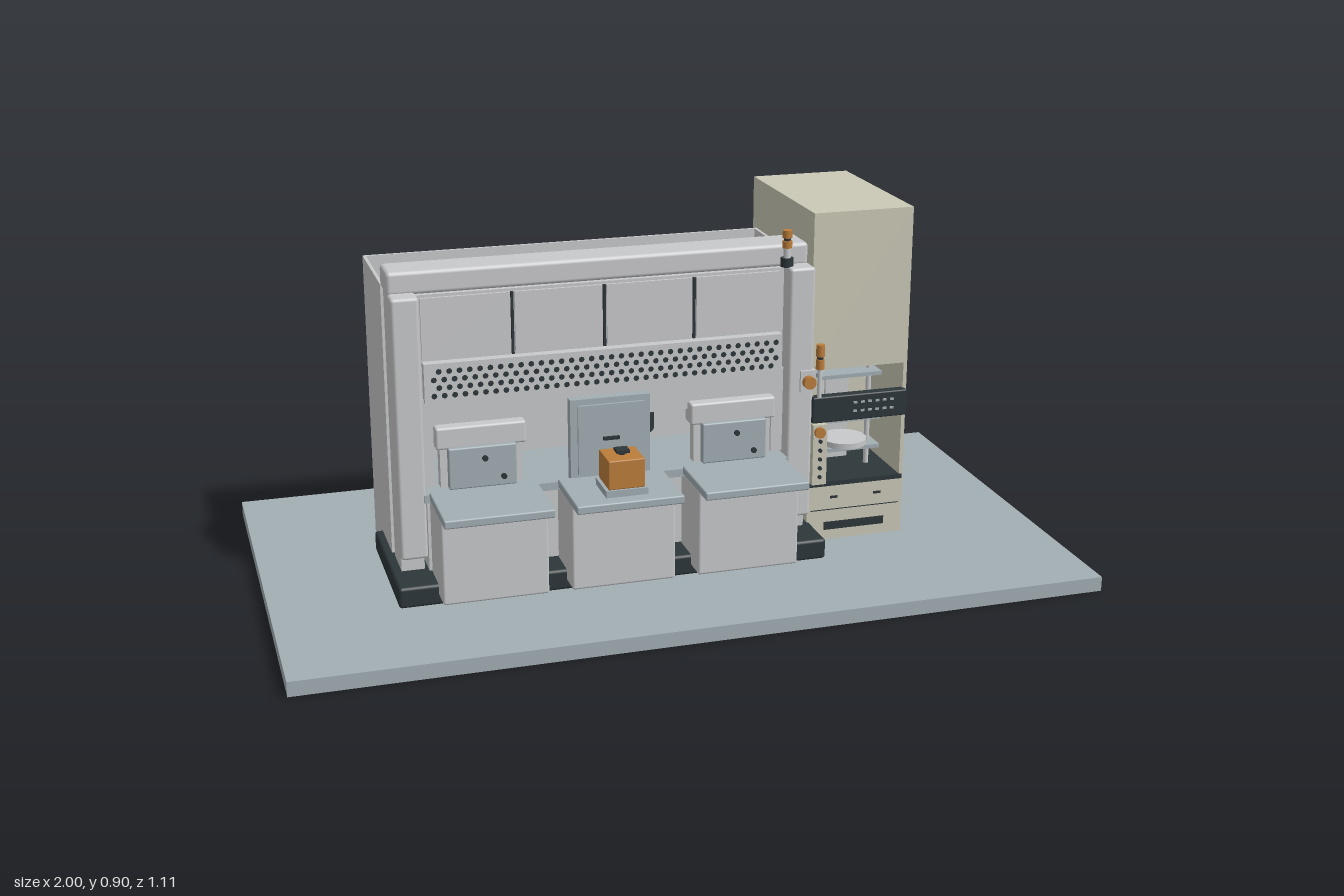
import * as THREE from 'three';
import { mergeGeometries } from 'three/addons/utils/BufferGeometryUtils.js';
import { RoundedBoxGeometry } from 'three/addons/geometries/RoundedBoxGeometry.js';

const paint = (name, color) => {
  const m = new THREE.MeshStandardMaterial({ color });
  m.name = name;
  return m;
};

export function createModel() {
  const tan = paint('cabinetTan', 0xcac8b6), grey = paint('panelGrey', 0xc8c9cb);
  const slate = paint('slateBlueGrey', 0xa2aeb3), dark = paint('charcoal', 0x2d363a);
  const orange = paint('signalOrange', 0xbb7d3b);

  const model = new THREE.Group();
  model.name = 'workCell';
  const section = (name) => {
    const g = new THREE.Group();
    g.name = name;
    model.add(g);
    return g;
  };
  const add = (g, name, geo, mat) => {
    const m = new THREE.Mesh(geo, mat);
    m.name = name;
    g.add(m);
    return m;
  };
  // Box given by its extents; r rounds the edges
  const box = (g, name, mat, x0, x1, y0, y1, z0, z1, r = 0) => {
    const s = [x1 - x0, y1 - y0, z1 - z0];
    const geo = r ? new RoundedBoxGeometry(...s, 2, r) : new THREE.BoxGeometry(...s);
    const m = add(g, name, geo, mat);
    m.position.set((x0 + x1) / 2, (y0 + y1) / 2, (z0 + z1) / 2);
    return m;
  };
  // Upright cylinder from y0 to y1
  const cyl = (g, name, mat, x, z, y0, y1, r, r2 = r) => {
    const m = add(g, name, new THREE.CylinderGeometry(r2, r, y1 - y0, 24), mat);
    m.position.set(x, (y0 + y1) / 2, z);
    return m;
  };
  // Round button facing forward
  const button = (g, name, mat, x, y, z, r, d) => {
    const m = cyl(g, name, mat, x, z, y - d / 2, y + d / 2, r);
    m.rotation.x = Math.PI / 2;
    return m;
  };

  // Floor plate and plinth
  const ground = section('floor');
  box(ground, 'floorPlate', slate, -1, 1, 0, 0.037, -0.555, 0.555);
  box(ground, 'plinth', dark, -0.7, 0.385, 0.037, 0.09, -0.125, 0.253, 0.008);

  // Open-topped enclosure
  const shell = section('enclosure');
  box(shell, 'backWall', grey, -0.68, 0.365, 0.037, 0.78, -0.255, -0.247);
  box(shell, 'leftSideWall', grey, 0.357, 0.365, 0.037, 0.78, -0.247, 0.03);
  box(shell, 'rightSideWall', grey, -0.68, -0.672, 0.037, 0.78, -0.247, 0.03);
  box(shell, 'topBeam', grey, -0.68, 0.365, 0.775, 0.832, 0.03, 0.13, 0.01);
  for (const x of [-0.68, 0.3]) {
    box(shell, 'post', grey, x + 0.004, x + 0.061, 0.09, 0.78, 0.05, 0.15);
    box(shell, 'postCover', grey, x, x + 0.066, 0.13, 0.782, 0.125, 0.183, 0.008);
  }

  // Upper front panels, perforated strip and lower header
  const front = section('frontPanels');
  box(front, 'upperPanel', grey, -0.614, 0.3, 0.52, 0.775, 0.12, 0.135);
  for (let i = 0; i < 4; i++) {
    const x = -0.605 + i * 0.226;
    box(front, 'windowPanel', grey, x, x + 0.215, 0.62, 0.768, 0.135, 0.142);
    if (i) box(front, 'windowDivider', dark, x - 0.009, x - 0.003, 0.615, 0.768, 0.135, 0.143);
  }
  box(front, 'perforatedStrip', grey, -0.605, 0.29, 0.515, 0.612, 0.135, 0.16);
  box(front, 'lowerHeader', grey, -0.614, 0.3, 0.435, 0.52, 0.115, 0.145);
  const dots = [];
  for (let row = 0; row < 4; row++) {
    for (let i = 0; i < 35; i++) {
      const x = -0.582 + i * 0.0248 + (row % 2) * 0.0124;
      dots.push(new THREE.CircleGeometry(0.0072, 8).translate(x, 0.532 + row * 0.02, 0.1612));
    }
  }
  add(front, 'perforations', mergeGeometries(dots), dark);
  for (const x of [-0.614, 0.27]) box(front, 'sideJamb', grey, x, x + 0.03, 0.3, 0.44, 0.11, 0.145);

  // Inner bench
  const bench = section('innerBench');
  box(bench, 'benchBody', grey, -0.61, 0.295, 0.09, 0.275, -0.05, 0.165);
  box(bench, 'benchTop', slate, -0.62, 0.3, 0.275, 0.295, -0.052, 0.19);
  for (let i = 0; i < 4; i++) {
    const x = -0.62 + i * 0.232;
    box(bench, 'rearCabinet', grey, x, x + 0.222, 0.09, 0.27, -0.112, -0.055);
  }

  // Three loading stations
  const stations = section('loadingStations');
  for (const x of [-0.475, -0.16, 0.157]) {
    box(stations, 'stationCabinet', grey, x - 0.129, x + 0.129, 0.06, 0.28, 0.165, 0.312, 0.006);
    box(stations, 'stationTop', slate, x - 0.132, x + 0.132, 0.28, 0.301, 0.185, 0.377, 0.004);
  }
  for (const x of [-0.475, 0.16]) {
    box(stations, 'screenHood', grey, x - 0.11, x + 0.11, 0.4, 0.455, 0.125, 0.175, 0.006);
    box(stations, 'screenBack', grey, x - 0.1, x + 0.1, 0.301, 0.4, 0.135, 0.165);
    box(stations, 'screen', slate, x - 0.083, x + 0.083, 0.301, 0.405, 0.165, 0.187, 0.004);
    button(stations, 'screenKnob', dark, x + 0.005, 0.375, 0.189, 0.007, 0.008);
    button(stations, 'screenKnob', dark, x + 0.05, 0.325, 0.189, 0.007, 0.008);
  }
  box(stations, 'centreDoor', slate, -0.26, -0.06, 0.295, 0.5, 0.165, 0.19);
  box(stations, 'centreDoorInset', slate, -0.242, -0.075, 0.31, 0.485, 0.19, 0.197);
  box(stations, 'doorHandle', dark, -0.18, -0.14, 0.395, 0.403, 0.197, 0.204);

  // Workpiece on the middle station
  const part = section('workpiece');
  box(part, 'palletPlate', slate, -0.212, -0.108, 0.301, 0.318, 0.244, 0.342);
  box(part, 'workBlock', orange, -0.205, -0.115, 0.318, 0.391, 0.248, 0.338, 0.003);
  cyl(part, 'liftStem', dark, -0.16, 0.293, 0.391, 0.398, 0.009);
  box(part, 'liftKnob', dark, -0.176, -0.144, 0.397, 0.404, 0.277, 0.309);

  // Jointed arm inside the enclosure
  const robot = section('robotArm');
  const link = (name, a, b, y, w) => {
    const dx = b[0] - a[0], dz = b[1] - a[1];
    const m = add(robot, name, new RoundedBoxGeometry(Math.hypot(dx, dz), 0.035, w, 2, 0.01), grey);
    m.position.set((a[0] + b[0]) / 2, y, (a[1] + b[1]) / 2);
    m.rotation.y = -Math.atan2(dz, dx);
  };
  const shoulder = [-0.035, -0.1], elbow = [-0.232, -0.18], wrist = [-0.195, 0.003];
  cyl(robot, 'robotPedestal', grey, ...shoulder, 0.09, 0.31, 0.06);
  cyl(robot, 'robotBase', dark, ...shoulder, 0.31, 0.37, 0.068);
  cyl(robot, 'shoulder', grey, ...shoulder, 0.37, 0.42, 0.048);
  link('upperArm', shoulder, elbow, 0.395, 0.055);
  cyl(robot, 'elbow', dark, ...elbow, 0.37, 0.455, 0.033);
  link('forearm', elbow, wrist, 0.435, 0.042);
  cyl(robot, 'wrist', grey, ...wrist, 0.36, 0.46, 0.024);

  // Tall side cabinet with a front opening
  const tower = section('sideCabinet');
  const X0 = 0.377, X1 = 0.64;
  box(tower, 'cabinetRear', tan, X0, X1, 0.037, 0.905, -0.315, -0.08);
  box(tower, 'cabinetUpper', tan, X0, X1, 0.5, 0.905, -0.08, 0.135);
  box(tower, 'cabinetLower', tan, X0, X1, 0.037, 0.185, -0.08, 0.135);
  box(tower, 'cabinetSide', tan, X1 - 0.01, X1, 0.185, 0.5, -0.08, 0.135);
  box(tower, 'cabinetSide', tan, X0, X0 + 0.01, 0.185, 0.5, -0.08, 0.135);
  box(tower, 'openingSill', dark, X0 + 0.003, X1 - 0.003, 0.185, 0.197, -0.08, 0.138);
  box(tower, 'drawerPull', dark, 0.425, 0.59, 0.064, 0.085, 0.13, 0.138);
  box(tower, 'drawerSeam', dark, X0 + 0.01, X1 - 0.01, 0.118, 0.12, 0.132, 0.1365);
  for (const x of [0.44, 0.56]) box(tower, 'drawerLatch', dark, x, x + 0.02, 0.15, 0.156, 0.132, 0.138);
  box(tower, 'sideDoor', tan, X1, X1 + 0.005, 0.145, 0.553, -0.242, -0.004);
  box(tower, 'sideDoorHandle', dark, X1 + 0.005, X1 + 0.014, 0.315, 0.382, -0.036, -0.026);
  box(tower, 'controlPanel', dark, 0.38, 0.637, 0.363, 0.432, 0.122, 0.15, 0.004);
  for (let i = 0; i < 6; i++) {
    for (const y of [0.385, 0.408]) {
      box(tower, 'controlKey', slate, 0.49 + i * 0.02, 0.5 + i * 0.02, y, y + 0.006, 0.149, 0.152);
    }
  }
  box(tower, 'switchStrip', tan, 0.382, 0.42, 0.198, 0.36, 0.125, 0.154);
  for (let i = 0; i < 5; i++) button(tower, 'switch', dark, 0.401, 0.22 + i * 0.024, 0.156, 0.005, 0.006);
  button(tower, 'startButton', orange, 0.398, 0.341, 0.158, 0.014, 0.012);

  // Sample handling inside the opening
  box(tower, 'liftColumn', grey, 0.485, 0.55, 0.197, 0.5, -0.075, -0.03);
  for (const x of [0.45, 0.58]) cyl(tower, 'guideRod', grey, x, 0.03, 0.197, 0.5, 0.007);
  for (const y of [0.25, 0.33, 0.45]) box(tower, 'sampleTray', slate, 0.43, 0.6, y, y + 0.01, -0.03, 0.07);
  cyl(tower, 'turntable', grey, 0.515, 0.03, 0.26, 0.275, 0.06);

  // Signal towers and emergency stop
  const signals = section('signals');
  const x1 = 0.303, x2 = 0.398, z = 0.146;
  cyl(signals, 'lampFoot', dark, x1, z, 0.78, 0.802, 0.016);
  cyl(signals, 'lampStem', grey, x1, z, 0.802, 0.826, 0.009);
  cyl(signals, 'lampCore', dark, x1, z, 0.82, 0.866, 0.008);
  cyl(signals, 'lowerLamp', orange, x1, z, 0.827, 0.845, 0.012);
  cyl(signals, 'upperLamp', orange, x1, z, 0.852, 0.871, 0.012);
  cyl(signals, 'cabinetLampStem', grey, x2, z, 0.432, 0.507, 0.006);
  cyl(signals, 'cabinetLampCore', dark, x2, z, 0.507, 0.565, 0.008);
  cyl(signals, 'cabinetLowerLamp', orange, x2, z, 0.507, 0.533, 0.011);
  cyl(signals, 'cabinetUpperLamp', orange, x2, z, 0.54, 0.571, 0.011);
  box(signals, 'stopHousing', grey, 0.33, 0.37, 0.465, 0.52, 0.17, 0.19);
  button(signals, 'stopButton', orange, 0.35, 0.492, 0.196, 0.016, 0.022);

  return model;
}
